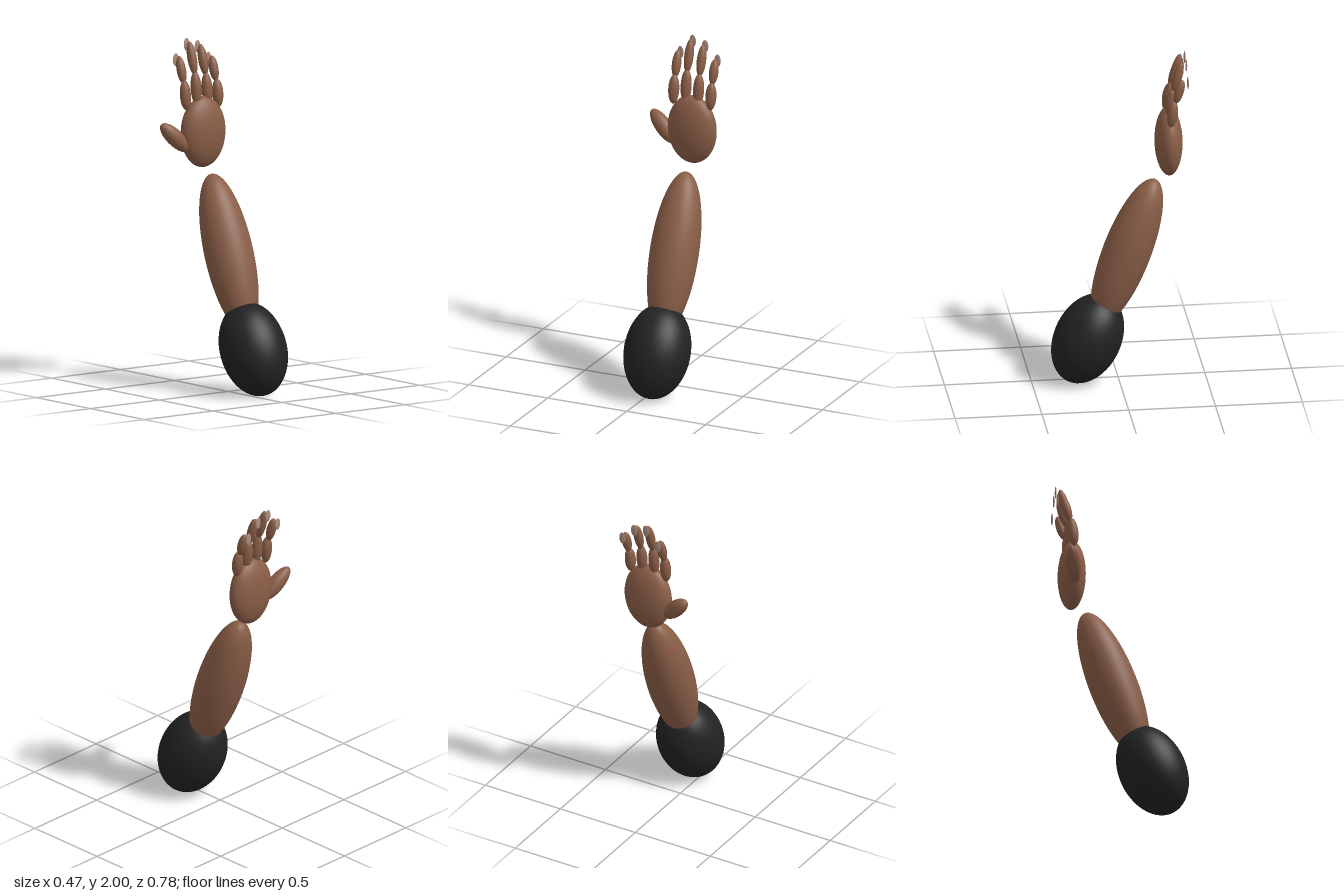
import * as THREE from 'three';

export function createModel() {
  const arm = new THREE.Group();
  arm.name = 'arm';

  const skin = new THREE.MeshStandardMaterial({ color: 0x8a5e47 });
  skin.name = 'skin';
  const cloth = new THREE.MeshStandardMaterial({ color: 0x222222 });
  cloth.name = 'black sleeve';
  const nail = new THREE.MeshStandardMaterial({ color: 0xac8c7c });
  nail.name = 'nail';

  const ball = new THREE.SphereGeometry(1, 40, 28);

  // Ellipsoid with its long axis on y, optionally leaned back about x
  function ellipsoid(name, material, position, radii, lean = 0, parent = arm) {
    const mesh = new THREE.Mesh(ball, material);
    mesh.name = name;
    mesh.position.set(...position);
    mesh.scale.set(...radii);
    mesh.rotation.x = -lean;
    parent.add(mesh);
    return mesh;
  }

  // Arm
  ellipsoid('sleeve', cloth, [0.042, 0.265, 0.18], [0.192, 0.277, 0.193], 0.42);
  ellipsoid('forearm', skin, [0.042, 0.79, -0.046], [0.142, 0.47, 0.138], 0.355);

  // Hand
  const hand = new THREE.Group();
  hand.name = 'hand';
  arm.add(hand);
  ellipsoid('palm', skin, [0.042, 1.465, -0.286], [0.151, 0.205, 0.079], 0, hand);

  const thumb = ellipsoid('thumb', skin, [-0.149, 1.446, -0.303], [0.048, 0.118, 0.045], 0, hand);
  thumb.quaternion.setFromUnitVectors(
    new THREE.Vector3(0, 1, 0),
    new THREE.Vector3(-0.7, 0.69, -0.18).normalize()
  );

  // Fingers: x, lower centre and half length, upper centre and half length, nail centre
  const fingers = [
    ['indexFinger', -0.079, 1.686, 0.086, 1.828, 0.08, 1.882],
    ['middleFinger', -0.001, 1.716, 0.1, 1.888, 0.098, 1.963],
    ['ringFinger', 0.078, 1.706, 0.095, 1.872, 0.092, 1.943],
    ['littleFinger', 0.156, 1.678, 0.081, 1.815, 0.074, 1.867],
  ];
  for (const [name, x, lowY, lowH, highY, highH, nailY] of fingers) {
    const finger = new THREE.Group();
    finger.name = name;
    hand.add(finger);
    ellipsoid('lowerSegment', skin, [x, lowY, -0.295], [0.032, lowH, 0.031], 0.12, finger);
    ellipsoid('upperSegment', skin, [x, highY, -0.333], [0.027, highH, 0.027], 0.28, finger);
    ellipsoid('fingernail', nail, [x, nailY, -0.384], [0.02, 0.037, 0.005], 0, finger);
  }

  return arm;
}
